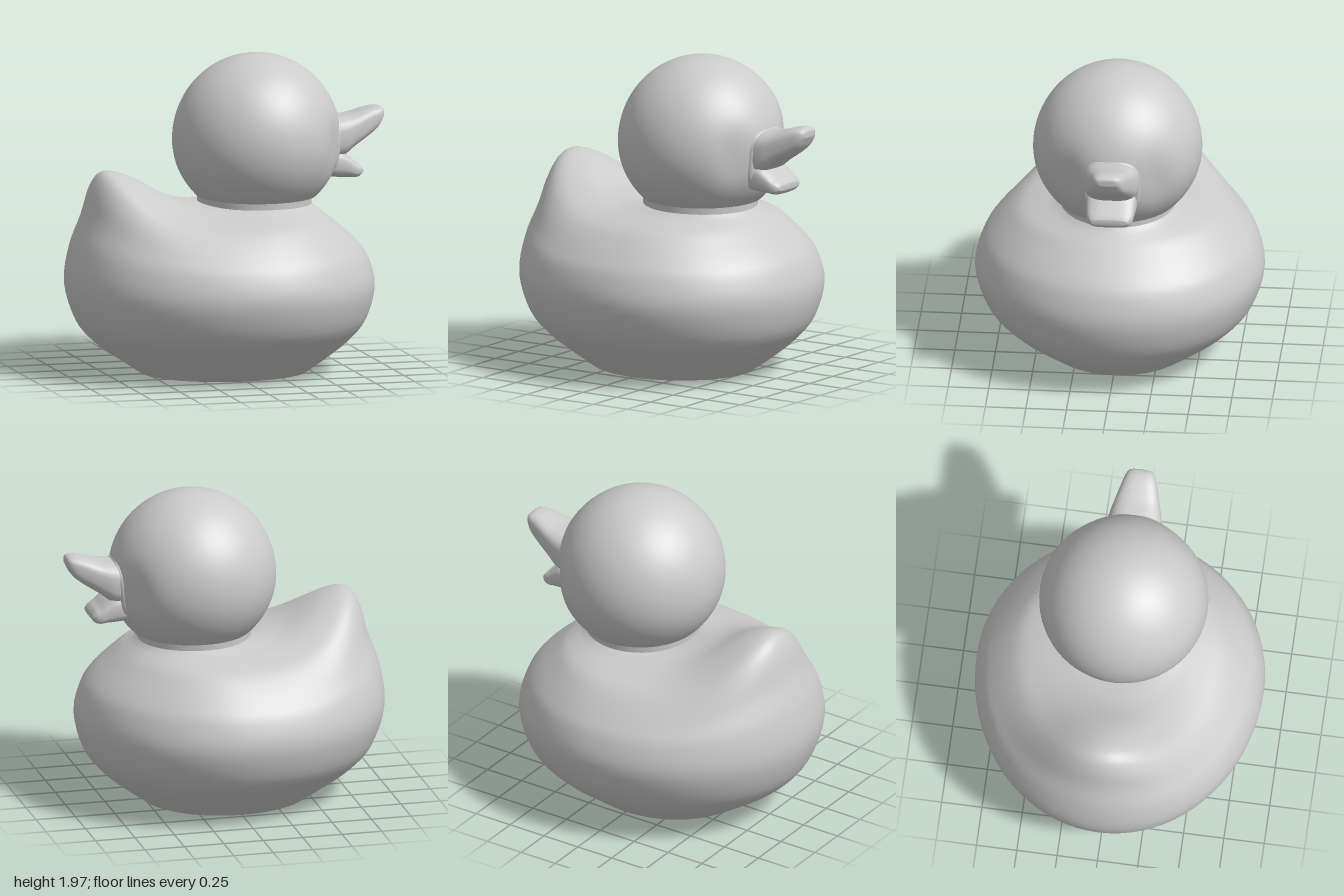
import * as THREE from 'three';

const material = new THREE.MeshStandardMaterial({ color: 0xcccccc });

function addMesh(group, name, geometry) {
  const mesh = new THREE.Mesh(geometry, material);
  mesh.name = name;
  group.add(mesh);
  return mesh;
}

// Smooth skin over closed rings that all hold the same number of points
function skin(rings) {
  const n = rings[0].length, index = [];
  for (let i = 0; i < rings.length - 1; i++) {
    for (let j = 0; j < n; j++) {
      const a = i * n + j, b = i * n + (j + 1) % n;
      index.push(a, a + n, b, b, a + n, b + n);
    }
  }
  const geometry = new THREE.BufferGeometry();
  geometry.setAttribute('position', new THREE.Float32BufferAttribute(rings.flat(2), 3));
  geometry.setIndex(index);
  geometry.computeVertexNormals();
  return geometry;
}

// Catmull-Rom interpolation between rows of numbers
function smoothRows(rows, steps) {
  const out = [], last = rows.length - 1;
  for (let k = 0; k <= last * steps; k++) {
    const i = Math.min(Math.floor(k / steps), last - 1), t = k / steps - i;
    const [p, q, r, s] = [-1, 0, 1, 2].map(d => rows[Math.min(last, Math.max(0, i + d))]);
    out.push(q.map((v, c) => v + 0.5 * t * (r[c] - p[c]
      + t * (2 * p[c] - 5 * v + 4 * r[c] - s[c] + t * (3 * (v - r[c]) + s[c] - p[c])))));
  }
  return out;
}

// Body stations: centre x, front x, front y, back x, back y, half width, side y
const bodyRows = [
  [0.00, 0.51, 0.00, -0.53, 0.00, 0.47, 0.00],
  [0.00, 0.65, 0.10, -0.68, 0.10, 0.60, 0.10],
  [0.02, 0.77, 0.20, -0.82, 0.20, 0.72, 0.20],
  [0.03, 0.87, 0.33, -0.93, 0.33, 0.83, 0.33],
  [0.04, 0.92, 0.53, -1.00, 0.56, 0.89, 0.53],
  [0.04, 0.88, 0.70, -0.97, 0.80, 0.85, 0.70],
  [0.05, 0.81, 0.80, -0.90, 1.00, 0.78, 0.80],
  [0.07, 0.70, 0.90, -0.85, 1.18, 0.68, 0.90],
  [0.10, 0.64, 0.95, -0.77, 1.27, 0.60, 0.955],
  [0.12, 0.60, 0.98, -0.60, 1.23, 0.50, 0.99],
  [0.15, 0.56, 1.01, -0.38, 1.11, 0.41, 1.015],
  [0.18, 0.53, 1.04, -0.17, 1.055, 0.35, 1.04],
];

function bodyRing([c, fx, fy, bx, by, w, sy], n = 80) {
  return Array.from({ length: n }, (_, j) => {
    const a = j / n * Math.PI * 2, cos = Math.cos(a);
    const front = cos >= 0;
    // The tail lift fades quickly away from the back
    const blend = front ? cos * cos : cos ** 4;
    return [
      c + (front ? fx - c : c - bx) * cos,
      sy + ((front ? fy : by) - sy) * blend,
      w * Math.sin(a),
    ];
  });
}

// Beak stations: x, bottom y, top y, half width; slant shears the section
function beakLoft(rows, slant = 0, n = 32) {
  const power = v => Math.sign(v) * Math.abs(v) ** 0.65;
  const stations = smoothRows(rows, 4);
  const rings = stations.map(([x, lo, hi, w]) => Array.from({ length: n }, (_, j) => {
    const a = j / n * Math.PI * 2;
    const dy = power(Math.sin(a)) * (hi - lo) / 2;
    return [x + dy * slant, (lo + hi) / 2 + dy, power(Math.cos(a)) * w];
  }));
  const [x, lo, hi] = stations[stations.length - 1];
  rings.push(Array.from({ length: n }, () => [x, (lo + hi) / 2, 0]));
  return skin(rings);
}

function headGeometry() {
  const profile = [];
  const start = -Math.asin(0.35 / 0.49);
  for (let i = 0; i <= 40; i++) {
    const a = start + (Math.PI / 2 - start) * i / 40;
    const height = a < 0 ? 0.49 : 0.535;
    profile.push(new THREE.Vector2(0.52 * Math.cos(a), 1.43 + height * Math.sin(a)));
  }
  const geometry = new THREE.LatheGeometry(profile, 64);
  geometry.translate(0.2, 0, 0);
  // Shallow dents in the cheeks beside the beak
  const p = geometry.attributes.position;
  for (let i = 0; i < p.count; i++) {
    if (p.getX(i) < 0.2) continue;
    const dz = (Math.abs(p.getZ(i)) - 0.27) / 0.1, dy = (p.getY(i) - 1.4) / 0.17;
    p.setX(i, p.getX(i) - 0.035 * Math.exp(-dz * dz - dy * dy));
  }
  geometry.computeVertexNormals();
  // Match the normals across the lathe seam
  const normals = geometry.attributes.normal, m = profile.length;
  for (let i = 0; i < m; i++) {
    const j = 64 * m + i;
    const v = new THREE.Vector3().fromBufferAttribute(normals, i)
      .add(new THREE.Vector3().fromBufferAttribute(normals, j)).normalize();
    for (const k of [i, j]) normals.setXYZ(k, v.x, v.y, v.z);
  }
  return geometry;
}

export function createModel() {
  const duck = new THREE.Group();
  duck.name = 'bathDuck';

  // Body with upswept tail
  addMesh(duck, 'body', skin(smoothRows(bodyRows, 4).map(row => bodyRing(row))));

  // Flat underside
  const base = bodyRing(bodyRows[0]);
  addMesh(duck, 'base', skin([base.map(() => [0, 0, 0]), base]));

  // Neck and head
  const neck = addMesh(duck, 'neck', new THREE.CylinderGeometry(0.355, 0.35, 0.16, 64, 1, true));
  neck.position.set(0.185, 1.05, 0);
  addMesh(duck, 'head', headGeometry());

  // Beak
  const beak = new THREE.Group();
  beak.name = 'beak';
  duck.add(beak);
  addMesh(beak, 'beakCollar', beakLoft([
    [0.58, 1.18, 1.57, 0.185], [0.67, 1.19, 1.57, 0.178], [0.69, 1.21, 1.55, 0.16],
  ], 0.12));
  addMesh(beak, 'upperBeak', beakLoft([
    [0.60, 1.30, 1.55, 0.17], [0.72, 1.31, 1.56, 0.165], [0.80, 1.365, 1.57, 0.145],
    [0.90, 1.43, 1.60, 0.115], [0.96, 1.48, 1.608, 0.095], [0.99, 1.53, 1.60, 0.075],
    [1.00, 1.55, 1.585, 0.05],
  ]));
  addMesh(beak, 'lowerBeak', beakLoft([
    [0.60, 1.19, 1.37, 0.16], [0.70, 1.18, 1.36, 0.155], [0.76, 1.178, 1.32, 0.148],
    [0.80, 1.175, 1.285, 0.142], [0.83, 1.182, 1.265, 0.13], [0.85, 1.205, 1.24, 0.11],
  ]));

  return duck;
}
